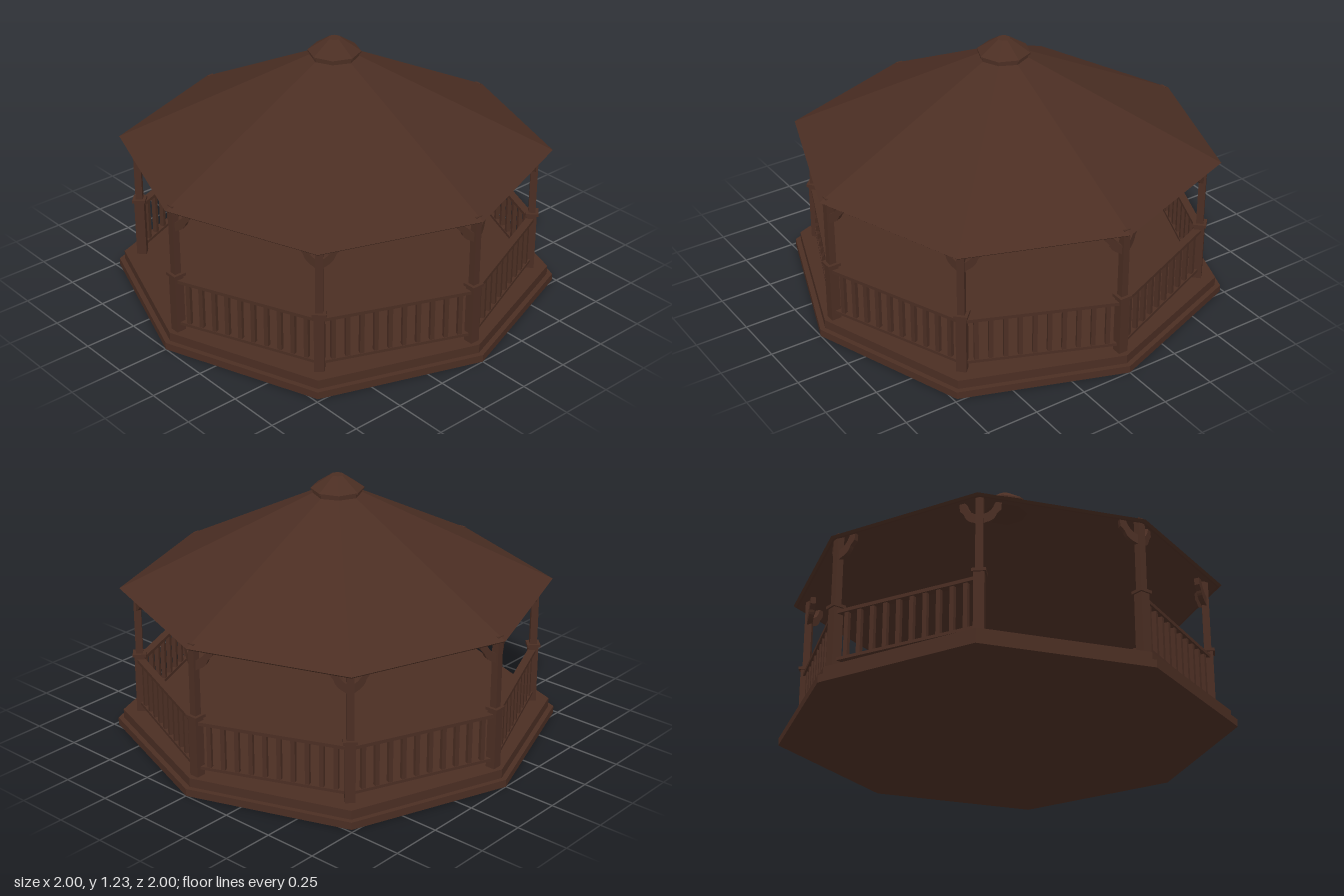
import * as THREE from 'three';

const wood = new THREE.MeshStandardMaterial({ color: 0x4b2e23 });
const POST_R = 0.925;
const CHORD = 2 * POST_R * Math.sin(Math.PI / 8);

function add(parent, name, geometry, x = 0, y = 0, z = 0) {
  const mesh = new THREE.Mesh(geometry, wood);
  mesh.name = name;
  mesh.position.set(x, y, z);
  parent.add(mesh);
  return mesh;
}

// Eight-sided faceted solid from a profile; `k` stretches the four diagonal corners
function octagon(profile, k = 1) {
  const lathe = new THREE.LatheGeometry(profile.map(([r, y]) => new THREE.Vector2(r, y)), 8);
  const p = lathe.attributes.position;
  const n = profile.length;
  for (let i = 0; i < p.count; i++) {
    if (Math.floor(i / n) % 2) p.setXYZ(i, p.getX(i) * k, p.getY(i), p.getZ(i) * k);
  }
  const g = lathe.toNonIndexed();
  g.computeVertexNormals();
  return g;
}

// Curved bracket growing from the post along +x
function braceGeometry() {
  const s = new THREE.Shape();
  s.moveTo(0.012, 0.59);
  s.lineTo(0.022, 0.597);
  s.quadraticCurveTo(0.062, 0.612, 0.07, 0.645);
  s.lineTo(0.09, 0.668);
  s.lineTo(0.092, 0.7);
  s.lineTo(0.066, 0.7);
  s.quadraticCurveTo(0.05, 0.65, 0.012, 0.635);
  s.closePath();
  const g = new THREE.ExtrudeGeometry(s, { depth: 0.024, bevelEnabled: false, curveSegments: 6 });
  return g.translate(0, 0, -0.012);
}

function makePost(brace) {
  const post = new THREE.Group();
  post.name = 'post';
  add(post, 'postBase', new THREE.BoxGeometry(0.046, 0.285, 0.046), 0, 0.2175, 0);
  add(post, 'postCollar', new THREE.BoxGeometry(0.062, 0.014, 0.062), 0, 0.367, 0);
  add(post, 'postShaft', new THREE.BoxGeometry(0.033, 0.345, 0.033), 0, 0.5425, 0);
  // brackets point toward the neighbouring posts
  add(post, 'bracketLeft', brace).rotation.y = Math.PI / 8;
  add(post, 'bracketRight', brace).rotation.y = Math.PI - Math.PI / 8;
  return post;
}

function makeRailing() {
  const railing = new THREE.Group();
  railing.name = 'railing';
  add(railing, 'topRail', new THREE.BoxGeometry(CHORD - 0.03, 0.016, 0.036), 0, 0.337, 0);
  add(railing, 'bottomRail', new THREE.BoxGeometry(CHORD - 0.03, 0.014, 0.026), 0, 0.119, 0);
  const baluster = new THREE.BoxGeometry(0.02, 0.21, 0.02);
  for (let i = 0; i < 10; i++) {
    add(railing, 'baluster', baluster, (i - 4.5) * 0.065, 0.226, 0);
  }
  return railing;
}

export function createModel() {
  const model = new THREE.Group();
  model.name = 'gazebo';

  // Two-step platform
  add(model, 'lowerStep', octagon([[0, 0], [1, 0], [1, 0.035], [0, 0.035]], 1.039));
  add(model, 'deck', octagon([[0, 0.03], [0.975, 0.03], [0.975, 0.078], [0, 0.078]], 1.039));

  // Posts at every corner, railings on every side but the entrance
  const brace = braceGeometry();
  const entrance = 7;
  for (let i = 0; i < 8; i++) {
    const a = (i * Math.PI) / 4;
    const post = makePost(brace);
    post.position.set(Math.sin(a) * POST_R, 0, Math.cos(a) * POST_R);
    post.rotation.y = a;
    model.add(post);

    if (i === entrance) continue;
    const mid = a + Math.PI / 8;
    const apothem = POST_R * Math.cos(Math.PI / 8);
    const railing = makeRailing();
    railing.position.set(Math.sin(mid) * apothem, 0, Math.cos(mid) * apothem);
    railing.rotation.y = mid;
    model.add(railing);
  }

  // Thin hollow roof
  add(model, 'roof', octagon([
    [0.955, 0.69], [0.966, 0.699], [0.1, 1.15], [0.09, 1.135], [0.945, 0.69], [0.955, 0.69],
  ], 1.039));

  // Cupola: collar and blunt cap
  add(model, 'cupola', octagon([
    [0, 1.128], [0.112, 1.128], [0.112, 1.162], [0.122, 1.162],
    [0.122, 1.17], [0.03, 1.232], [0, 1.232],
  ]));

  return model;
}
